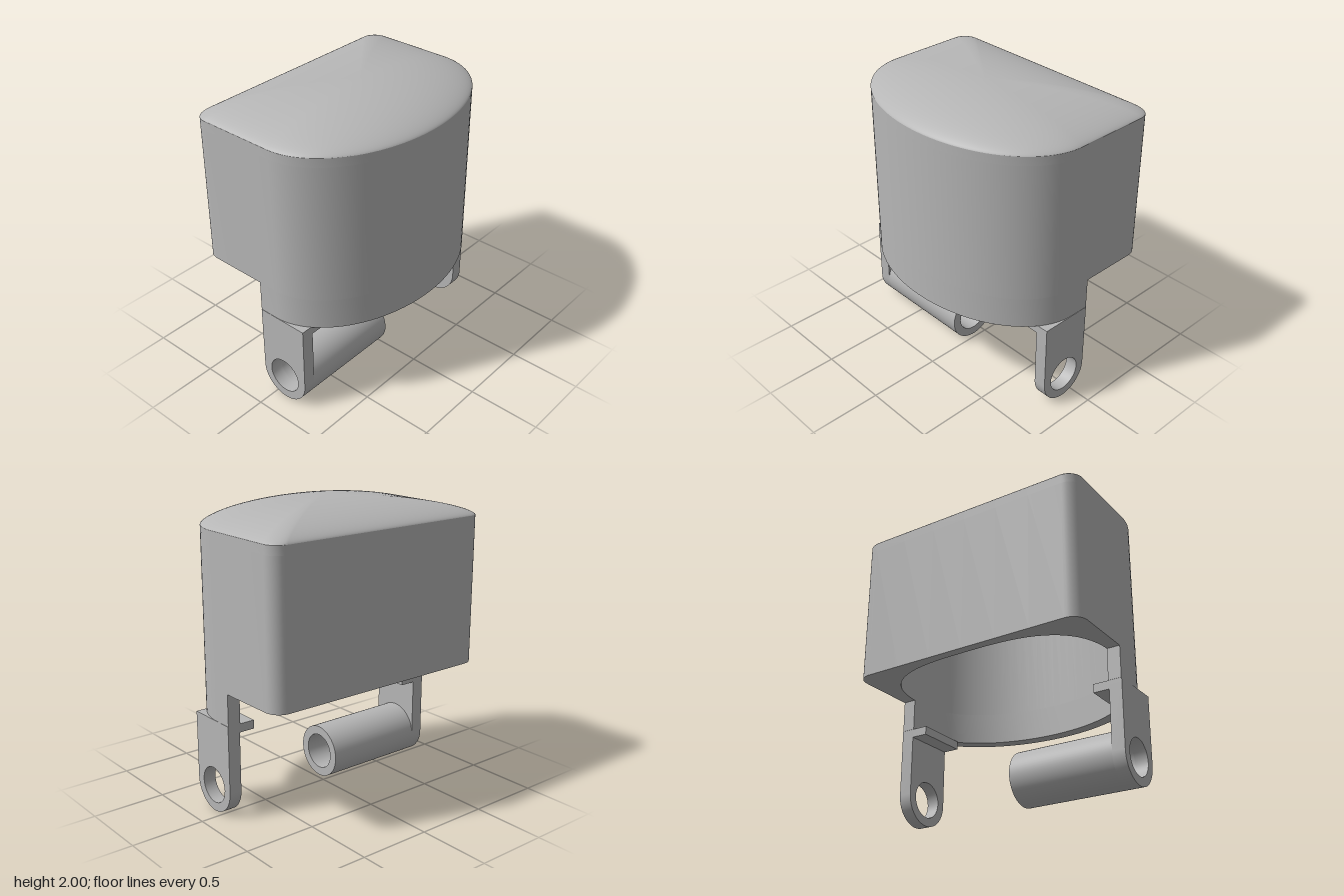
import * as THREE from 'three';
import { toCreasedNormals } from 'three/addons/utils/BufferGeometryUtils.js';

const grey = new THREE.MeshStandardMaterial({ color: 0xb6b6b6 });
grey.name = 'plain grey';

const V = (x, y) => new THREE.Vector2(x, y);

// Plan of the housing: elliptical front (+x), straight sides, flat back with rounded corners
function outerPlan() {
  const p = [];
  const cx = 0.03, w = 0.845, back = -0.602, r = 0.1;
  for (let i = -24; i <= 24; i++) {
    const a = (i / 24) * Math.PI / 2;
    p.push(V(cx + 0.572 * Math.cos(a), w * Math.sin(a)));
  }
  for (const x of [-0.1, -0.3]) p.push(V(x, w));
  for (const s of [1, -1]) {
    for (let i = 0; i <= 8; i++) {
      const a = ((s > 0 ? i : 8 - i) / 8) * Math.PI / 2;
      p.push(V(back + r - r * Math.sin(a), s * (w - r + r * Math.cos(a))));
    }
    if (s > 0) for (const y of [0.5, 0.25, 0, -0.25, -0.5]) p.push(V(back, y));
  }
  for (const x of [-0.3, -0.1]) p.push(V(x, -w));
  return p;
}

// Plan of the cavity: elliptical front, fuller rounded back
function innerPlan() {
  const p = [];
  for (let i = 0; i < 72; i++) {
    const a = (i / 72) * Math.PI * 2, c = Math.cos(a), s = Math.sin(a);
    const e = c >= 0 ? 1 : 2 / 3;
    p.push(V(0.03 + (c >= 0 ? 0.49 : 0.57) * Math.sign(c) * Math.abs(c) ** e,
      0.76 * Math.sign(s) * Math.abs(s) ** e));
  }
  return p;
}

// Vertical prism from a plan, between two heights
function prism(shape, y0, y1) {
  const g = new THREE.ExtrudeGeometry(shape, { depth: y1 - y0, bevelEnabled: false });
  g.rotateX(-Math.PI / 2).translate(0, y0, 0);
  return toCreasedNormals(g, 0.5);
}

// Shallow dome made of shrinking copies of the plan
function dome(plan, y0, h) {
  const n = plan.length, rings = 20, pos = [], idx = [];
  for (let j = 0; j <= rings; j++) {
    const s = Math.cos((j / rings) * Math.PI / 2);
    const y = y0 + h * Math.max(0, 1 - s * s) ** 0.7;
    for (const q of plan) pos.push(q.x * s, y, -q.y * s);
  }
  for (let j = 0; j < rings; j++) {
    for (let i = 0; i < n; i++) {
      const k = (i + 1) % n, a = j * n, b = a + n;
      idx.push(a + i, a + k, b + i);
      if (j < rings - 1) idx.push(a + k, b + k, b + i);
    }
  }
  const g = new THREE.BufferGeometry();
  g.setAttribute('position', new THREE.Float32BufferAttribute(pos, 3));
  g.setIndex(idx);
  g.computeVertexNormals();
  return g;
}

export function createModel() {
  const group = new THREE.Group();
  const add = (name, geo) => {
    const m = new THREE.Mesh(geo, grey);
    m.name = name;
    group.add(m);
    return m;
  };
  const outer = outerPlan(), inner = innerPlan();

  // Housing: open-bottomed wall, ceiling and domed top
  const wall = new THREE.Shape(outer);
  wall.holes.push(new THREE.Path(inner));
  add('housingWall', prism(wall, 0.855, 1.8));
  add('housingCeiling', prism(new THREE.Shape(outer), 1.8, 1.86));
  add('domedTop', dome(outer, 1.86, 0.14));

  // Lower skirt around the front half
  const front = outer.filter(q => q.x > -0.101);
  const tail = front.pop(); // the last point belongs before the first
  front.unshift(tail);
  const inside = inner.filter(q => q.x > -0.09).sort((a, b) => b.y - a.y);
  const skirt = new THREE.Shape([...front, V(-0.1, 0.755), ...inside, V(-0.1, -0.755)]);
  add('frontSkirt', prism(skirt, 0.64, 0.855));

  // Hinge lugs with inward flanges
  const cx = 0.083, cy = 0.182, r = 0.182, bore = 0.122;
  const lug = new THREE.Shape();
  lug.moveTo(cx + r, 0.64);
  lug.lineTo(cx - r, 0.64);
  lug.lineTo(cx - r, cy);
  lug.absarc(cx, cy, r, Math.PI, Math.PI * 2, false);
  lug.closePath();
  const lugHole = new THREE.Path().absarc(cx, cy, bore, 0, Math.PI * 2, true);
  lug.holes.push(lugHole);
  for (const side of [1, -1]) {
    const label = side > 0 ? 'left' : 'right';
    const g = new THREE.ExtrudeGeometry(lug, { depth: 0.088, bevelEnabled: false, curveSegments: 16 });
    g.translate(0, 0, side > 0 ? 0.759 : -0.847);
    add(label + 'HingeLug', toCreasedNormals(g, 0.6));
    const flange = new THREE.BoxGeometry(2 * r, 0.058, 0.11);
    add(label + 'Flange', flange).position.set(cx, 0.611, side * 0.704);
  }

  // Hinge barrel running inward from one lug
  const ring = new THREE.Shape().absarc(cx, cy, r, 0, Math.PI * 2, false);
  ring.holes.push(new THREE.Path().absarc(cx, cy, bore, 0, Math.PI * 2, true));
  const barrel = new THREE.ExtrudeGeometry(ring, { depth: 0.73, bevelEnabled: false, curveSegments: 32 });
  barrel.translate(0, 0, 0.03);
  add('hingeBarrel', toCreasedNormals(barrel, 0.6));

  return group;
}
